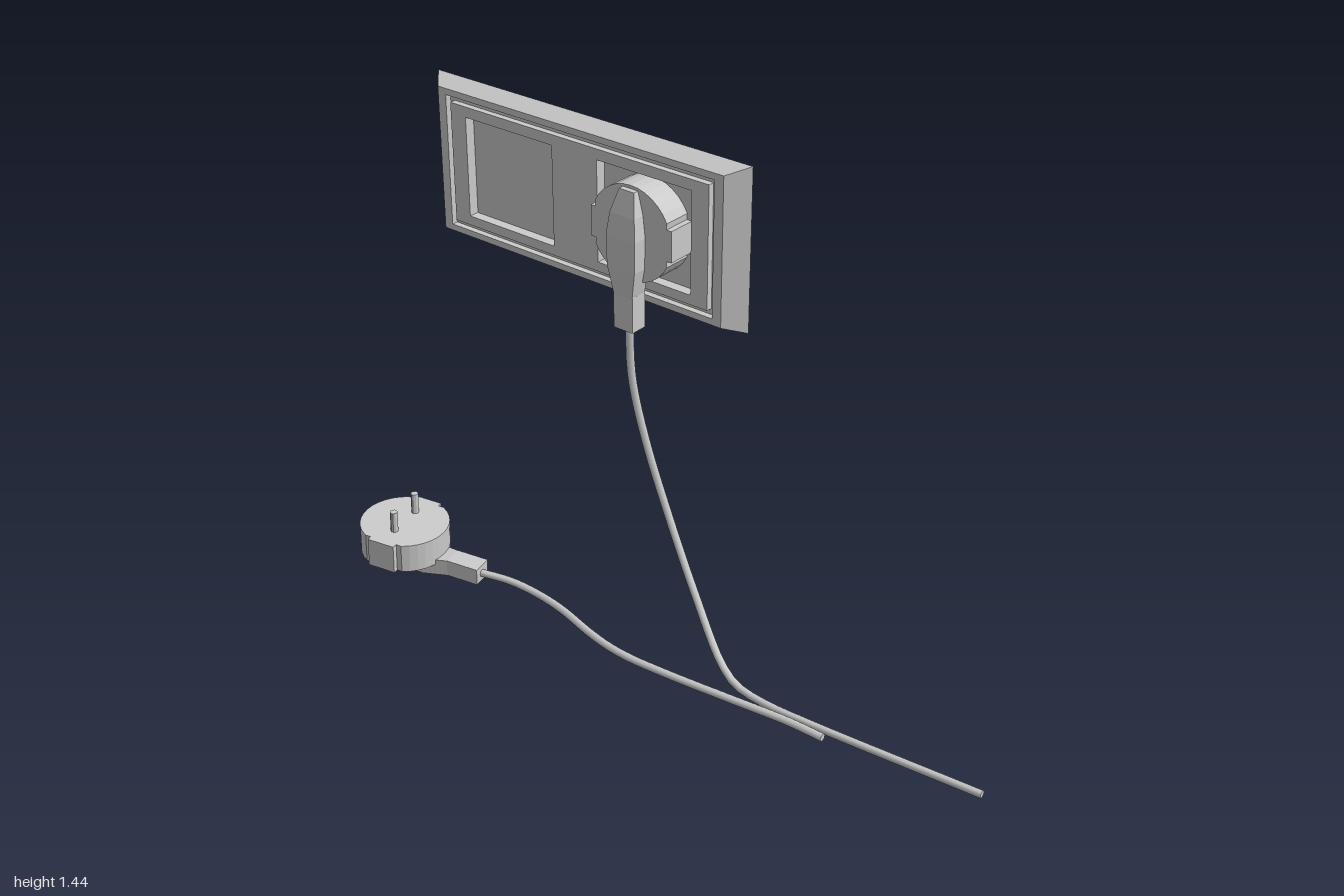
import * as THREE from 'three';

const grey = new THREE.MeshStandardMaterial({ color: 0xcccccc, flatShading: true });
const smooth = new THREE.MeshStandardMaterial({ color: 0xcccccc, side: THREE.DoubleSide });

function add(parent, name, geometry, x = 0, y = 0, z = 0, material = grey) {
  const mesh = new THREE.Mesh(geometry, material);
  mesh.name = name;
  mesh.position.set(x, y, z);
  parent.add(mesh);
  return mesh;
}

// Skin over four-cornered loops, each counter-clockwise about the direction of travel
function loft(loops, capEnd) {
  const pos = [];
  const quad = (a, b, c, d) => pos.push(...a, ...b, ...c, ...a, ...c, ...d);
  for (let k = 0; k + 1 < loops.length; k++) {
    for (let i = 0; i < 4; i++) {
      const j = (i + 1) % 4;
      quad(loops[k][i], loops[k][j], loops[k + 1][j], loops[k + 1][i]);
    }
  }
  const [a, b, c, d] = loops[0];
  quad(d, c, b, a);
  if (capEnd) quad(...loops[loops.length - 1]);
  const geo = new THREE.BufferGeometry();
  geo.setAttribute('position', new THREE.Float32BufferAttribute(pos, 3));
  geo.computeVertexNormals();
  return geo;
}

const rect = (x0, y0, x1, y1) => [[x0, y0], [x1, y0], [x1, y1], [x0, y1]];
const toPoints = (list) => list.map(([x, y]) => new THREE.Vector2(x, y));

// Double wall plate: bevelled frame, groove, and inner plate with two square wells
function wallPlate() {
  const group = new THREE.Group();
  group.name = 'wallPlate';
  const X0 = -0.9, X1 = 0.157, Y0 = 0.988, Y1 = 1.44;
  const inset = (ix, iy) => rect(X0 + ix, Y0 + iy, X1 - ix, Y1 - iy);
  const steps = [
    [0, 0, -0.2], [0.048, 0.02, -0.147], [0.076, 0.038, -0.147],
    [0.076, 0.038, -0.165], [0.092, 0.055, -0.165], [0.092, 0.055, -0.147],
  ];
  add(group, 'frame', loft(steps.map(([ix, iy, z]) => inset(ix, iy).map(([x, y]) => [x, y, z])), false));

  const plate = new THREE.Shape(toPoints(inset(0.092, 0.055)));
  for (const x of [-0.754, -0.295]) {
    plate.holes.push(new THREE.Path(toPoints(rect(x, 1.07, x + 0.306, 1.355).reverse())));
  }
  add(group, 'innerPlate', new THREE.ExtrudeGeometry(plate, { depth: 0.03, bevelEnabled: false }), 0, 0, -0.177);
  for (const x of [-0.601, -0.142]) {
    add(group, 'wellFloor', new THREE.BoxGeometry(0.306, 0.285, 0.015), x, 1.2125, -0.1845);
  }
  return group;
}

// Plug: contact face at z = 0, grip towards +z, cable leaving towards -y
function plug(withPins) {
  const group = new THREE.Group();
  group.name = 'plug';

  // Round body with a guide rail and small notches on each side
  const R = 0.131, start = Math.asin(0.06 / R), n = 12;
  const outline = [];
  for (const s of [1, -1]) {
    outline.push([s * R, -s * 0.043], [s * R, s * 0.043], [s * 0.115, s * 0.043]);
    for (let i = 0; i <= n; i++) {
      const a = start + (Math.PI - 2 * start) * i / n;
      outline.push([s * R * Math.cos(a), s * R * Math.sin(a)]);
    }
    outline.push([-s * 0.115, s * 0.043]);
  }
  add(group, 'plugBody', new THREE.ExtrudeGeometry(new THREE.Shape(toPoints(outline)), { depth: 0.089, bevelEnabled: false }));

  // Grip, swelling in the middle: y, half width, back z, front z
  const sections = [
    [-0.165, 0.03, 0.07, 0.121], [-0.085, 0.045, 0.078, 0.129], [0, 0.047, 0.085, 0.13],
    [0.06, 0.04, 0.085, 0.123], [0.122, 0.024, 0.085, 0.105],
  ];
  add(group, 'plugGrip', loft(sections.map(([y, w, b, f]) => [[-w, y, b], [-w, y, f], [w, y, f], [w, y, b]]), true));
  add(group, 'strainRelief', new THREE.BoxGeometry(0.062, 0.1, 0.051), 0, -0.21, 0.0955);

  if (withPins) {
    for (const s of [1, -1]) {
      add(group, 'pin', new THREE.CylinderGeometry(0.011, 0.011, 0.07, 10).rotateX(Math.PI / 2), s * 0.056, 0, -0.03);
    }
  }
  return group;
}

// Round cable along a path, closed at both ends
function cable(name, points) {
  const group = new THREE.Group();
  group.name = name;
  const radius = 0.011;
  const curve = new THREE.CatmullRomCurve3(points.map((p) => new THREE.Vector3(...p)));
  add(group, 'cableSheath', new THREE.TubeGeometry(curve, 48, radius, 8), 0, 0, 0, smooth);
  for (const t of [0, 1]) {
    const p = curve.getPointAt(t);
    const cap = add(group, 'cableEnd', new THREE.CircleGeometry(radius, 8), p.x, p.y, p.z, smooth);
    cap.lookAt(p.clone().addScaledVector(curve.getTangentAt(t), t ? 1 : -1));
  }
  return group;
}

export function createModel() {
  const model = new THREE.Group();
  model.name = 'socketAndCables';
  model.add(wallPlate());

  // Plug in the right-hand well
  const wallPlug = plug(false);
  wallPlug.position.set(-0.141, 1.214, -0.185);
  model.add(wallPlug);

  // Loose plug lying on its grip, pins up
  const floorPlug = plug(true);
  floorPlug.position.set(-0.868, 0.14, 0.072);
  floorPlug.rotation.set(Math.PI / 2 - 0.03, THREE.MathUtils.degToRad(-77), 0, 'YXZ');
  model.add(floorPlug);

  model.add(cable('wallCable', [
    [-0.142, 0.97, -0.09], [-0.142, 0.8, -0.1], [-0.11, 0.62, -0.115], [-0.04, 0.4, -0.128],
    [0.07, 0.2, -0.108], [0.2, 0.05, -0.063], [0.265, 0.02, -0.046], [0.36, 0.012, -0.04],
    [0.5, 0.012, -0.046], [1, 0.014, -0.09],
  ]));
  model.add(cable('floorCable', [
    [-0.625, 0.036, 0.018], [-0.53, 0.03, -0.012], [-0.43, 0.024, -0.02], [-0.33, 0.023, -0.008],
    [-0.2, 0.023, 0.025], [-0.12, 0.023, 0.04], [-0.04, 0.023, 0.045], [0.1, 0.023, 0.035],
    [0.3, 0.023, 0.012], [0.46, 0.023, -0.007], [0.57, 0.023, -0.01],
  ]));
  return model;
}
